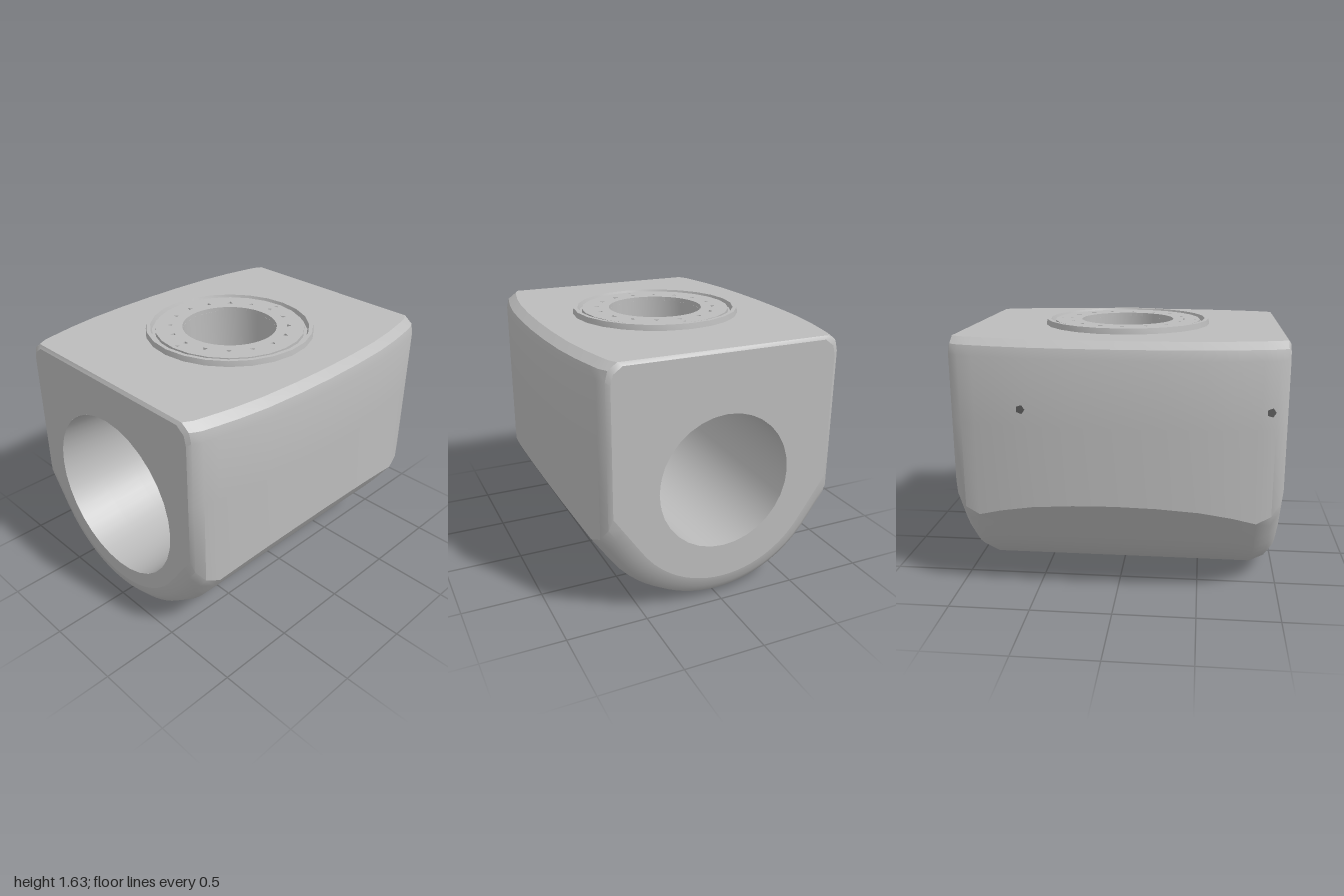
import * as THREE from 'three';
import { toCreasedNormals } from 'three/addons/utils/BufferGeometryUtils.js';

const CENTRE = 0.8;                       // height of the bore axis
const TOP = 1.6;
const boreRadius = z => 0.477 + 0.057 * z; // bore tapers towards the back

// Skin a list of closed rows of points; keep(row, column) may drop quads.
function skin(rows, crease, keep = () => true) {
  const n = rows[0].length, index = [];
  for (let r = 0; r < rows.length - 1; r++) {
    for (let c = 0; c < n; c++) {
      if (!keep(r, c)) continue;
      const a = r * n + c, b = r * n + (c + 1) % n;
      index.push(a, b, b + n, a, b + n, a + n);
    }
  }
  const g = new THREE.BufferGeometry();
  g.setAttribute('position', new THREE.Float32BufferAttribute(rows.flat(2), 3));
  g.setIndex(index);
  return toCreasedNormals(g, crease);
}

function circleHole(r, x = 0, y = 0, sides = 32, turn = 0) {
  const pts = [];
  for (let i = 0; i < sides; i++) {
    const a = turn + i / sides * Math.PI * 2;
    pts.push(new THREE.Vector2(x + r * Math.cos(a), y + r * Math.sin(a)));
  }
  return new THREE.Path(pts);
}

// Rounded belly that runs into straight flanks
const belly = x => x < 0.66 ? CENTRE - Math.sqrt(0.64 - x * x) : 0.348 + (x - 0.66) * 1.46;

// Closed cross-section, from the upper left corner under the belly to the upper right
function section([z, w, shrink, top]) {
  const half = [];
  for (let i = 0; i <= 14; i++) {
    const x = w * i / 14;
    half.push([x, CENTRE - (CENTRE - belly(x / shrink)) * shrink, z]);
  }
  half.push([w, 1.1, z], [w, top - 0.1, z], [w - 0.015, top - 0.04, z], [w - 0.07, top, z]);
  const mirrored = half.slice(1).reverse().map(([x, y]) => [-x, y, z]);
  return mirrored.concat(half);
}

export function createModel() {
  const model = new THREE.Group();
  const grey = new THREE.MeshStandardMaterial({ color: 0xbcbcbc, side: THREE.DoubleSide });
  grey.name = 'light grey';
  const dark = new THREE.MeshStandardMaterial({ color: 0x5c5c5c, side: THREE.DoubleSide });
  dark.name = 'dark grey';
  const add = (name, geometry, material = grey) => {
    const mesh = new THREE.Mesh(geometry, material);
    mesh.name = name;
    model.add(mesh);
    return mesh;
  };

  // Housing: z, half width, belly shrink, top height
  const halfStations = [
    [1, 0.70, 0.79, 1.58], [0.985, 0.725, 0.865, 1.6], [0.93, 0.755, 0.95, 1.6],
    [0.84, 0.775, 1, 1.6], [0.7, 0.803, 1, 1.6], [0.5, 0.83, 1, 1.6],
    [0.25, 0.845, 1, 1.6], [0, 0.85, 1, 1.6],
  ];
  const stations = halfStations.concat(
    halfStations.slice(0, -1).reverse().map(([z, ...rest]) => [-z, ...rest]));
  const rows = stations.map(section).reverse();
  const last = rows[0].length - 1;
  // the flat top between the end roundings is a separate face
  add('housing', skin(rows, 0.6,
    (r, c) => c !== last || r === 0 || r === rows.length - 2));

  // Flat top with the round opening
  const inner = stations.slice(1, -1);
  const topShape = new THREE.Shape([
    ...inner.map(([z, w]) => new THREE.Vector2(w - 0.07, -z)),
    ...inner.slice().reverse().map(([z, w]) => new THREE.Vector2(0.07 - w, -z)),
  ]);
  topShape.holes.push(circleHole(0.3));
  add('topFace', new THREE.ShapeGeometry(topShape).rotateX(-Math.PI / 2).translate(0, TOP, 0));

  // End faces with the large front and smaller back opening
  for (const side of [1, -1]) {
    const shape = new THREE.Shape(
      section([0, ...halfStations[0].slice(1)]).map(([x, y]) => new THREE.Vector2(x, y)));
    shape.holes.push(circleHole(boreRadius(side), 0, CENTRE));
    const g = new THREE.ShapeGeometry(shape);
    if (side < 0) g.rotateY(Math.PI);
    add(side > 0 ? 'frontFace' : 'backFace', g.translate(0, 0, side));
  }

  // Tapered bore: lower three quarters
  const bore = new THREE.CylinderGeometry(
    boreRadius(1), boreRadius(-1), 2, 36, 8, true, Math.PI * 1.25, Math.PI * 1.5);
  bore.rotateX(Math.PI / 2);
  // turn the gap so that it is centred at the top
  const gap = new THREE.Box3().setFromBufferAttribute(bore.attributes.position);
  if (gap.max.y < -gap.min.y - 0.01 === false) bore.rotateZ(Math.PI);
  add('bore', bore.translate(0, CENTRE, 0));

  // Bore ceiling, blended from the vertical shaft out to the edges of the gap
  const around = 48, ceiling = [], shaft = [[], []];
  const onBore = (s, z) => {
    const r = boreRadius(z);
    return [s * r, CENTRE + r * Math.sqrt(1 - s * s), z];
  };
  for (let k = 0; k <= 6; k++) {
    const row = [];
    for (let i = 0; i < around; i++) {
      const a = i / around * Math.PI * 2, c = Math.cos(a), d = Math.sin(a);
      const m = Math.max(Math.abs(c), Math.abs(d)), t = k / 6;
      const s0 = 0.3 * c / boreRadius(0.3 * d);
      const p = onBore(s0 + (Math.SQRT1_2 * c / m - s0) * t, 0.3 * d + (d / m - 0.3 * d) * t);
      row.push(p);
      if (k === 0) {
        shaft[0].push([p[0], 1.625, p[2]]);
        shaft[1].push(p);
      }
    }
    ceiling.push(row);
  }
  add('boreCeiling', skin(ceiling, 0.6));
  add('shaft', skin(shaft, 0.6));

  // Raised outer lip of the top flange
  const lip = [[0.535, 1.6], [0.53, 1.635], [0.505, 1.635], [0.495, 1.603]]
    .map(([x, y]) => new THREE.Vector2(x, y));
  add('flangeLip', toCreasedNormals(new THREE.LatheGeometry(lip, 24), 0.5));

  // Flange plate with a circle of bolt holes
  const plate = new THREE.Shape(circleHole(0.475, 0, 0, 24).getPoints());
  plate.holes.push(circleHole(0.3, 0, 0, 48));
  for (let i = 0; i < 16; i++) {
    const a = i / 16 * Math.PI * 2;
    plate.holes.push(circleHole(0.02, 0.375 * Math.cos(a), 0.375 * Math.sin(a), 3, a));
  }
  for (const y of [-0.44, 0.44]) plate.holes.push(circleHole(0.016, 0, y, 3, Math.PI / 2));
  const plateGeometry = new THREE.ExtrudeGeometry(plate, { depth: 0.023, bevelEnabled: false });
  add('flangePlate', plateGeometry.rotateX(-Math.PI / 2).translate(0, 1.604, 0));
  add('boltHoleFloor', new THREE.RingGeometry(0.34, 0.46, 32).rotateX(-Math.PI / 2)
    .translate(0, 1.603, 0), dark);

  // Small pits on the right flank
  for (const [x, z, turn] of [[-0.828, -0.55, -0.1], [-0.768, 0.9, 0.2]]) {
    const pit = add('sidePit', new THREE.CircleGeometry(0.028, 5), dark);
    pit.position.set(x, 1.2, z);
    pit.rotation.y = -Math.PI / 2 + turn;
  }
  return model;
}
